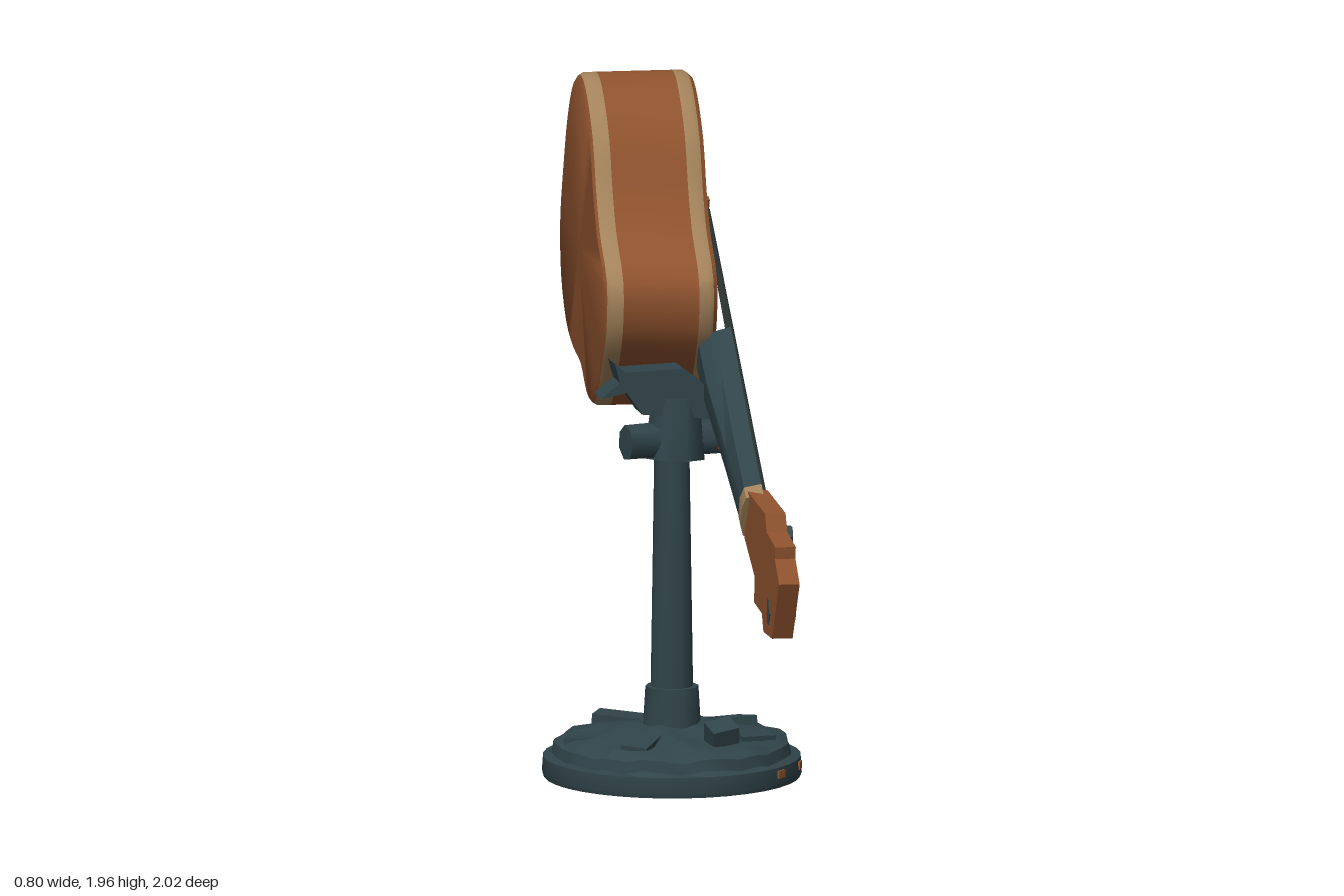
import * as THREE from 'three';
import { toCreasedNormals } from 'three/addons/utils/BufferGeometryUtils.js';

const mat = (name, color) => Object.assign(new THREE.MeshStandardMaterial({ color }), { name });
const V = (x, y, z) => new THREE.Vector3(x, y, z);

export function createModel() {
  const wood = mat('brown wood', 0x8e522e);
  const cream = mat('cream binding', 0xa2825a);
  const iron = mat('dark teal', 0x30444a);
  const hole = mat('grey teal', 0x3a4c51);
  const dark = mat('dark string', 0x28322f);

  const model = new THREE.Group();
  const guitar = new THREE.Group();
  guitar.name = 'guitar';
  guitar.rotation.y = -0.315;
  const stand = new THREE.Group();
  stand.name = 'stand';
  model.add(guitar, stand);

  const add = (parent, name, geo, material) => {
    const m = new THREE.Mesh(geo, material);
    m.name = name;
    parent.add(m);
    return m;
  };

  // Skin over a list of closed rings with equal point counts
  function loft(rings, crease = 0.7) {
    const n = rings[0].length, pos = [], idx = [];
    rings.forEach(r => r.forEach(p => pos.push(p.x, p.y, p.z)));
    for (let i = 0; i < rings.length - 1; i++) {
      for (let j = 0; j < n; j++) {
        const a = i * n + j, b = i * n + (j + 1) % n, c = a + n, d = b + n;
        idx.push(a, c, b, b, c, d);
      }
    }
    const g = new THREE.BufferGeometry();
    g.setAttribute('position', new THREE.Float32BufferAttribute(pos, 3));
    g.setIndex(idx);
    g.computeVertexNormals();
    return toCreasedNormals(g, crease);
  }

  // Plate drawn in (z, y) and thickened along x
  function plate(points, x0, depth) {
    const shape = new THREE.Shape(points.map(([z, y]) => new THREE.Vector2(-z, y)));
    return new THREE.ExtrudeGeometry(shape, { depth, bevelEnabled: false }).rotateY(Math.PI / 2).translate(x0, 0, 0);
  }

  function rod(a, b, r0, r1, sides = 6) {
    const d = b.clone().sub(a);
    const g = new THREE.CylinderGeometry(r1, r0, d.length(), sides);
    g.applyQuaternion(new THREE.Quaternion().setFromUnitVectors(V(0, 1, 0), d.normalize()));
    const c = a.clone().add(b).multiplyScalar(0.5);
    return toCreasedNormals(g.translate(c.x, c.y, c.z), 0.9);
  }

  // Guitar body: one outline swept through its thickness
  const outline = [
    [-0.03, 1.44], [-0.18, 1.56], [-0.26, 1.67], [-0.33, 1.81], [-0.46, 1.92], [-0.57, 1.955], [-0.69, 1.925],
    [-0.81, 1.81], [-0.905, 1.64], [-0.98, 1.45], [-0.96, 1.29], [-0.85, 1.17], [-0.7, 1.12], [-0.53, 1.1],
    [-0.41, 1.04], [-0.32, 1.03], [-0.24, 1.07], [-0.13, 1.18], [-0.04, 1.3],
  ];
  const curve = new THREE.CatmullRomCurve3(outline.map(([z, y]) => V(0, y, z)), true, 'centripetal');
  const rim = curve.getPoints(57).slice(0, 57);
  const centre = V(0, 1.45, -0.54);
  const ring = ([scale, x]) => rim.map(p => p.clone().sub(centre).multiplyScalar(scale).add(centre).setX(x));
  const band = (name, material, ...steps) => add(guitar, name, loft(steps.map(ring)), material);
  band('back', wood, [0, -0.235], [0.96, -0.23], [0.985, -0.222]);
  band('backBinding', cream, [0.985, -0.222], [1, -0.21], [1, -0.175]);
  band('sides', wood, [1, -0.175], [1, 0.045]);
  band('frontBinding', cream, [1, 0.045], [1, 0.075], [0.985, 0.088]);
  band('soundboard', wood, [0.985, 0.088], [0.96, 0.1], [0, 0.106]);

  // Sound hole, bridge and saddle
  const hexagon = [...Array(7)].map((_, i) => {
    const a = i * Math.PI * 2 / 7 + 0.3;
    return [-0.37 + 0.095 * Math.cos(a), 1.38 + 0.1 * Math.sin(a)];
  });
  add(guitar, 'soundHole', plate(hexagon, 0.104, 0.008), hole);
  add(guitar, 'bridge', plate([[-0.6, 1.57], [-0.63, 1.575], [-0.705, 1.45], [-0.675, 1.43]], 0.09, 0.065), wood);
  add(guitar, 'saddle', plate([[-0.51, 1.53], [-0.57, 1.59], [-0.6, 1.56], [-0.6, 1.49], [-0.56, 1.47]], 0.09, 0.045), hole);

  // Neck: D-shaped sections, flat towards the strings
  const section = [[1, 0.14], [-1, 0.14], [-0.85, 0.09], [-0.4, 0.05], [0.4, 0.05], [0.85, 0.09]];
  const neckRing = ([z, y, half, back]) => section.map(([u, x]) =>
    V(half ? Math.max(x, back) : 0.1, y + u * half * 0.87, z + u * half * 0.48));
  add(guitar, 'neck', loft([
    [-0.1, 1.21, 0, 0], [-0.1, 1.21, 0.105, 0.02], [0.08, 1.13, 0.09, 0.045], [0.35, 0.99, 0.08, 0.07], [0.56, 0.89, 0.078, 0.085],
  ].map(neckRing)), iron);
  add(guitar, 'nut', loft([
    [0.555, 0.892, 0, 0], [0.555, 0.892, 0.081, 0.08], [0.6, 0.868, 0.083, 0.08], [0.6, 0.868, 0, 0],
  ].map(neckRing)), cream);

  // Headstock and tuning pegs
  const head = plate([
    [0.6, 0.945], [0.83, 0.92], [0.85, 0.87], [0.96, 0.845], [0.955, 0.81], [1.01, 0.745], [0.92, 0.57], [0.81, 0.57],
    [0.79, 0.62], [0.69, 0.635], [0.7, 0.71], [0.57, 0.8],
  ], 0.095, 0.06);
  const hp = head.attributes.position;
  for (let i = 0; i < hp.count; i++) hp.setX(i, hp.getX(i) + 0.09 * (hp.getZ(i) - 0.58));
  head.computeVertexNormals();
  add(guitar, 'headstock', head, wood);
  [[0.8, 0.85, 0.04], [0.86, 0.64, 0.042], [0.74, 0.67, 0.042]].forEach(([z, y, r]) => {
    add(guitar, 'tuningPeg', rod(V(0.12, y, z), V(0.2, y, z), r, r * 0.7, 6), hole);
  });
  add(guitar, 'pegCap', rod(V(0.17, 0.69, 0.79), V(0.197, 0.69, 0.79), 0.024, 0.02, 6), cream);

  // Strings
  for (let i = 0; i < 4; i++) {
    const u = i - 1.5;
    const a = V(0.143, 1.535 + u * 0.012, -0.56 + u * 0.007);
    const b = V(0.148, 0.875 + u * 0.034, 0.6 + u * 0.018);
    add(guitar, 'string', rod(a, b, 0.005, 0.005, 4), dark);
  }

  // Stand base: turned disc with a rough, uneven top
  const cx = -0.03, cz = -0.025;
  const profile = [[0, 0], [0.37, 0], [0.375, 0.015], [0.372, 0.06], [0.345, 0.068], [0.338, 0.1], [0.3, 0.118],
    [0.22, 0.13], [0.13, 0.145], [0.08, 0.155], [0, 0.16]].map(([r, y]) => new THREE.Vector2(r, y));
  const base = new THREE.LatheGeometry(profile, 36);
  const bp = base.attributes.position;
  for (let i = 0; i < bp.count; i++) {
    const x = bp.getX(i), y = bp.getY(i), z = bp.getZ(i);
    if (y < 0.065) continue;
    const wob = Math.sin(x * 31 + z * 17) * Math.cos(z * 27 - x * 11);
    bp.setXYZ(i, x * (1 + wob * 0.025), y + wob * 0.009, z * (1 + wob * 0.025));
  }
  base.computeVertexNormals();
  add(stand, 'base', toCreasedNormals(base.translate(cx, 0, cz), 0.5), iron);

  // Loose slabs on the base and rust flecks on its edge
  [[0.02, 0.15, 0.2, 0.08, 0.07, 0.07, 0.35], [-0.2, 0.125, 0.12, 0.13, 0.03, 0.08, 0.1], [0.2, 0.125, -0.1, 0.12, 0.03, 0.1, -0.1],
    [-0.1, 0.135, -0.23, 0.14, 0.03, 0.08, 0.05], [0.14, 0.125, 0.16, 0.11, 0.03, 0.07, 0.1], [-0.28, 0.11, -0.07, 0.07, 0.03, 0.12, -0.1],
  ].forEach(([x, y, z, w, h, d, tilt], i) => {
    const slab = add(stand, 'baseSlab', new THREE.BoxGeometry(w, h, d), iron);
    slab.position.set(x, y, z);
    slab.rotation.set(tilt, i * 0.8, tilt * 0.5);
  });
  [0.55, 0.95, 1.9].forEach(a => {
    const fleck = add(stand, 'rustFleck', new THREE.BoxGeometry(0.035, 0.022, 0.008), wood);
    fleck.position.set(cx + 0.373 * Math.sin(a), 0.04, cz + 0.373 * Math.cos(a));
    fleck.rotation.y = a;
  });

  // Pole with its collar
  const at = (x, y, z) => V(cx + x, y, cz + z);
  add(stand, 'collar', rod(at(0, 0.13, 0), at(0, 0.262, 0), 0.085, 0.077, 10), iron);
  add(stand, 'pole', rod(at(0, 0.2, 0), at(0, 1.0, 0), 0.062, 0.05, 12), iron);

  // Clamp at the top of the pole
  add(stand, 'clampBar', rod(V(-0.18, 0.985, -0.02), V(0.11, 0.985, -0.01), 0.052, 0.056, 7), iron);
  add(stand, 'clampHub', rod(V(-0.03, 0.93, -0.01), V(-0.02, 1.11, -0.02), 0.09, 0.07, 7), iron);
  add(stand, 'clampKnob', rod(V(0.09, 0.985, 0.03), V(0.115, 0.985, 0.03), 0.035, 0.03, 6), wood);

  // Cradle under the body
  const cradle = new THREE.Shape([[-0.24, 1.12], [-0.165, 1.135], [-0.12, 1.07], [0.08, 1.05], [0.09, 1.13], [0, 1.2],
    [-0.17, 1.195], [-0.2, 1.22], [-0.185, 1.165]].map(([x, y]) => new THREE.Vector2(x, y)));
  const cradleGeo = new THREE.ExtrudeGeometry(cradle, { depth: 0.1, bevelEnabled: false });
  add(stand, 'cradle', cradleGeo.rotateY(-0.25).translate(0, 0, -0.06), iron);

  return model;
}
